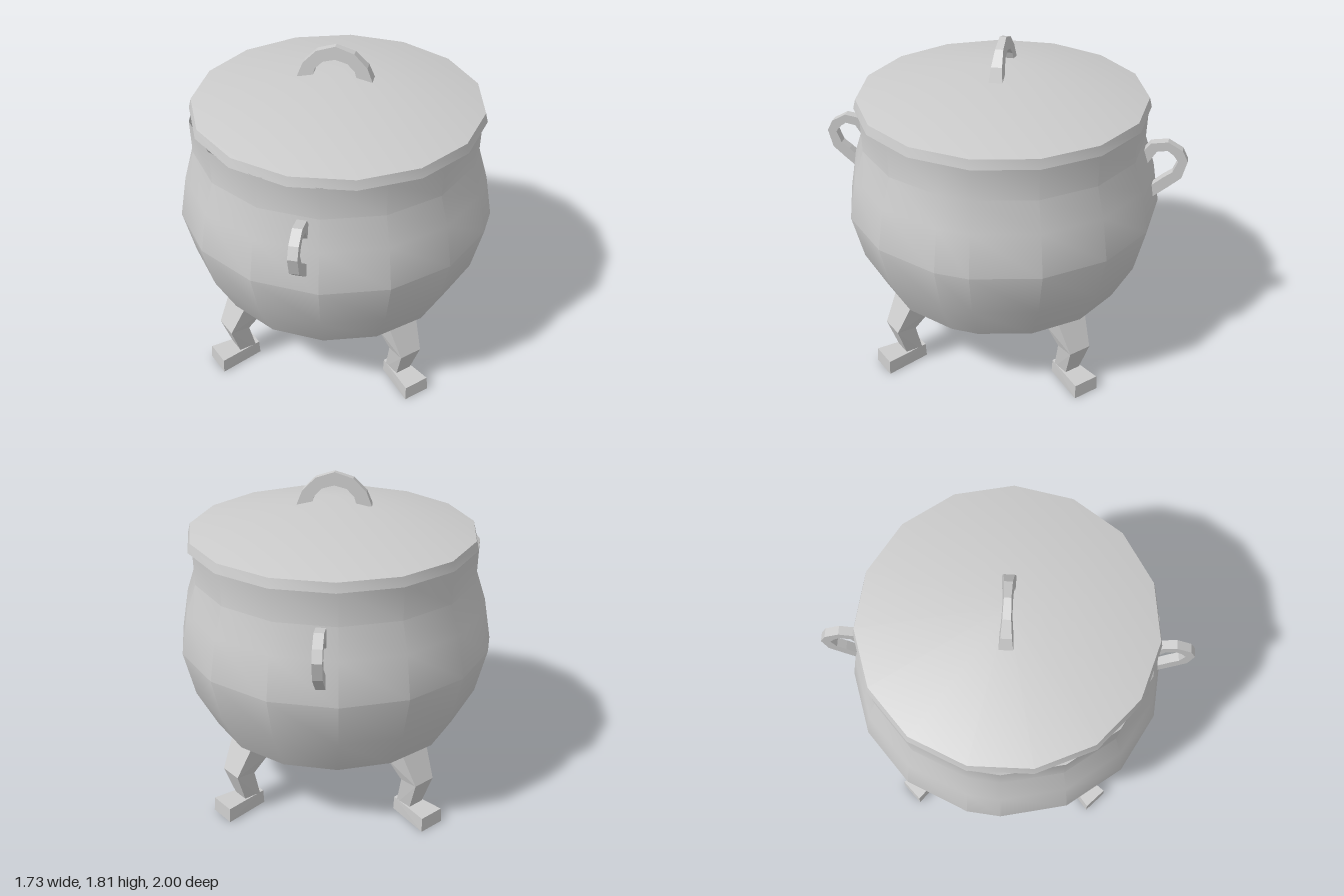
import * as THREE from 'three';
import { toCreasedNormals } from 'three/addons/utils/BufferGeometryUtils.js';
import { ConvexGeometry } from 'three/addons/geometries/ConvexGeometry.js';

const smoothMat = new THREE.MeshStandardMaterial({ color: 0xcccccc, side: THREE.DoubleSide });
const flatMat = new THREE.MeshStandardMaterial({ color: 0xcccccc, flatShading: true });
const v2 = ([x, y]) => new THREE.Vector2(x, y);

function add(parent, name, geometry, material = flatMat) {
  const mesh = new THREE.Mesh(geometry, material);
  mesh.name = name;
  parent.add(mesh);
  return mesh;
}

// Flat outline extruded to a centred thickness
function slab(points, thickness) {
  const geo = new THREE.ExtrudeGeometry(new THREE.Shape(points.map(v2)), { depth: thickness, bevelEnabled: false });
  return geo.translate(0, 0, -thickness / 2);
}

// Four corners of a leg section: inner and outer radius, height and half width
function section([rIn, yIn, wIn, rOut, yOut, wOut]) {
  return [[rIn, yIn, wIn], [rIn, yIn, -wIn], [rOut, yOut, wOut], [rOut, yOut, -wOut]]
    .map((p) => new THREE.Vector3(...p));
}

function potBody() {
  const profile = [[0, 0.18], [0.38, 0.245], [0.69, 0.41], [0.805, 0.63], [0.865, 0.88],
    [0.825, 1.11], [0.772, 1.27], [0.777, 1.455]].map(v2);
  const geo = new THREE.LatheGeometry(profile, 16);
  // Uneven facets: steps of 24 degrees, with a short step closing each half
  const pos = geo.attributes.position;
  for (let i = 0; i <= 16; i++) {
    const phi = THREE.MathUtils.degToRad(90 + 180 * Math.floor(i / 8) + 24 * (i % 8));
    profile.forEach((p, j) => pos.setXYZ(i * profile.length + j, p.x * Math.sin(phi), p.y, p.x * Math.cos(phi)));
  }
  return toCreasedNormals(geo, 0.5);
}

function buildLeg() {
  const leg = new THREE.Group();
  const hip = section([0.55, 0.33, 0.085, 0.66, 0.42, 0.09]);
  const knee = section([0.63, 0.235, 0.06, 0.745, 0.25, 0.065]);
  const ankle = section([0.58, 0.04, 0.045, 0.685, 0.07, 0.045]);
  const footTop = section([0.565, 0.08, 0.045, 0.81, 0.08, 0.072]);
  const footBase = section([0.56, 0, 0.045, 0.815, 0, 0.076]);
  add(leg, 'thigh', new ConvexGeometry([...hip, ...knee]));
  add(leg, 'shank', new ConvexGeometry([...knee, ...ankle]));
  add(leg, 'foot', new ConvexGeometry([...footTop, ...footBase]));
  return leg;
}

export function createModel() {
  const model = new THREE.Group();
  model.name = 'cauldron';
  add(model, 'potBody', potBody(), smoothMat);

  // Shallow conical lid with a short rim
  const lidProfile = [[0, 1.45], [0.79, 1.45], [0.777, 1.5], [0, 1.675]].map(v2);
  const lidGeo = new THREE.LatheGeometry(lidProfile, 15, Math.PI / 2);
  add(model, 'lid', toCreasedNormals(lidGeo, 0.5), smoothMat).position.x = 0.011;

  // Arched lid handle, thinner towards its top
  const arch = slab([[-0.2, 1.63], [-0.17, 1.705], [-0.1, 1.775], [0, 1.807], [0.1, 1.775], [0.17, 1.705], [0.2, 1.63],
    [0.12, 1.63], [0.105, 1.68], [0.065, 1.72], [0, 1.737], [-0.065, 1.72], [-0.105, 1.68], [-0.12, 1.63]], 2);
  const pos = arch.attributes.position;
  for (let i = 0; i < pos.count; i++) {
    const half = THREE.MathUtils.mapLinear(pos.getY(i), 1.63, 1.807, 0.036, 0.018);
    pos.setZ(i, pos.getZ(i) * half);
  }
  add(model, 'lidHandle', arch);

  // Side handles at front and back
  const loop = slab([[0.74, 1.2], [0.8, 1.28], [0.89, 1.295], [0.97, 1.25], [1.0, 1.19], [0.975, 1.09], [0.91, 1.03],
    [0.83, 0.96], [0.76, 0.99], [0.82, 1.03], [0.88, 1.085], [0.925, 1.12], [0.95, 1.185], [0.925, 1.22],
    [0.89, 1.245], [0.835, 1.235], [0.79, 1.16]], 0.05);
  for (const [name, angle] of [['frontHandle', -Math.PI / 2], ['backHandle', Math.PI / 2]]) {
    add(model, name, loop).rotation.y = angle;
  }

  // Four bent legs on the diagonals
  ['backLeftLeg', 'backRightLeg', 'frontRightLeg', 'frontLeftLeg'].forEach((name, i) => {
    const leg = buildLeg();
    leg.name = name;
    leg.rotation.y = Math.PI / 4 + i * Math.PI / 2;
    model.add(leg);
  });
  return model;
}
